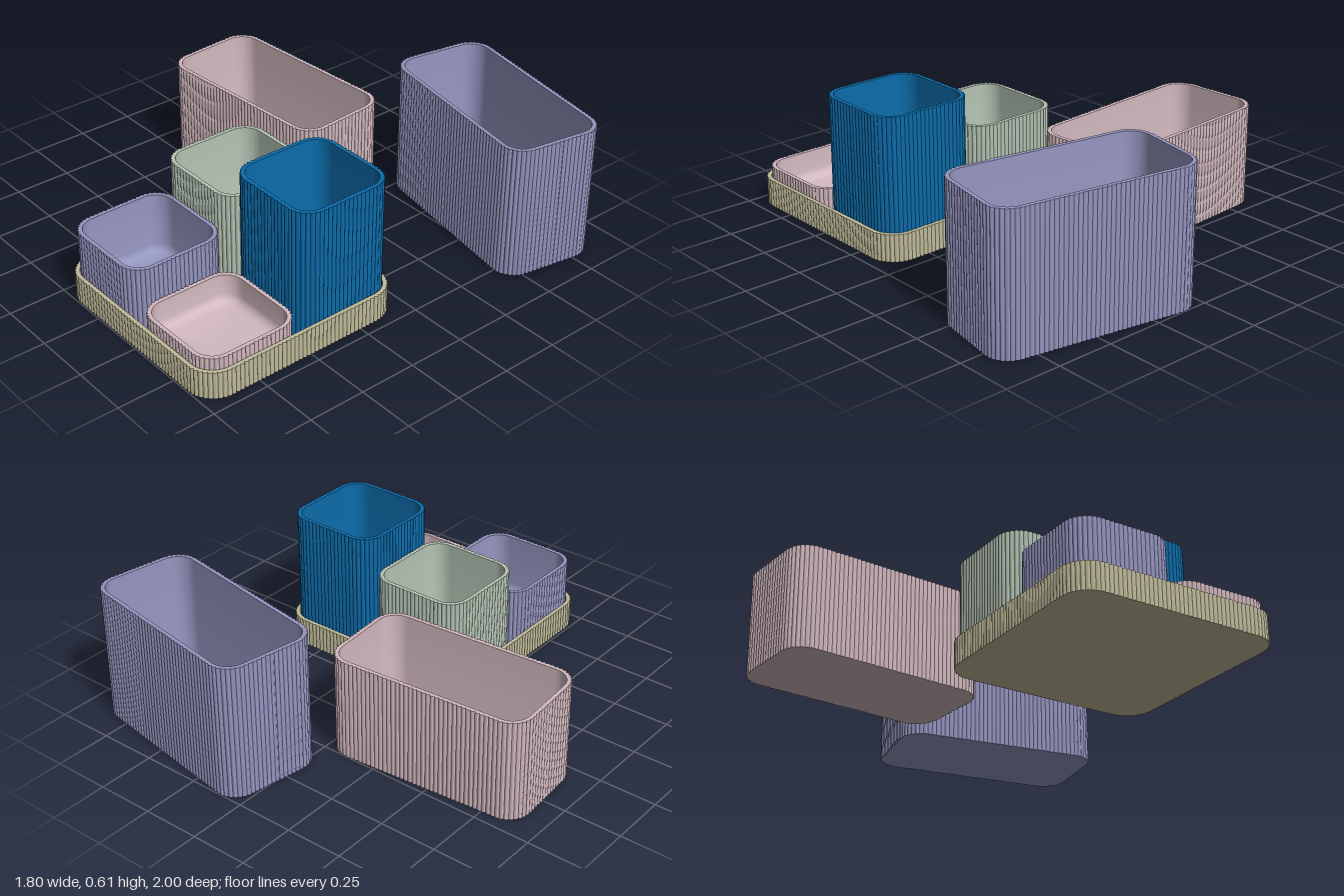
import * as THREE from 'three';
import { toCreasedNormals } from 'three/addons/utils/BufferGeometryUtils.js';

const RIB_PITCH = 0.02, RIB_DEPTH = 0.006, PER_RIB = 4;

// Evenly spaced points and outward normals around a rounded rectangle
function outline(w, d, r) {
  const a = w / 2 - r, b = d / 2 - r, arc = Math.PI * r / 2;
  const sides = [
    { c: [a, b], len: 2 * b, dir: [0, -1], corner: [a, -b] },
    { c: [a, -b], len: 2 * a, dir: [-1, 0], corner: [-a, -b] },
    { c: [-a, -b], len: 2 * b, dir: [0, 1], corner: [-a, b] },
    { c: [-a, b], len: 2 * a, dir: [1, 0], corner: [a, b] },
  ];
  const total = 4 * (a + b + arc);
  const n = Math.round(total / RIB_PITCH) * PER_RIB;
  const points = [];
  for (let i = 0; i < n; i++) {
    let s = (i / n) * total, k = 0;
    while (k < 3 && s >= sides[k].len + arc) { s -= sides[k].len + arc; k++; }
    const { c, len, dir, corner } = sides[k];
    const t = Math.max(0, s - len) / r, angle = k * Math.PI / 2 + t;
    const nx = Math.cos(angle), nz = -Math.sin(angle);
    const along = Math.min(s, len);
    const base = s < len ? [c[0] + dir[0] * along, c[1] + dir[1] * along] : corner;
    points.push({ x: base[0] + nx * r, z: base[1] + nz * r, nx, nz });
  }
  return points;
}

// Open tub: ribbed outside, smooth inside with a rounded edge around the floor
function tubGeometry(w, d, h, r, wall, floor, fillet) {
  const path = outline(w, d, r), n = path.length;
  const profile = [
    { y: 0, centre: true },
    { y: 0, inset: 0, rib: true },
    { y: h, inset: 0, rib: true },
    { y: h, inset: wall },
  ];
  for (let i = 0; i <= 4; i++) {
    const t = (i / 4) * Math.PI / 2;
    profile.push({ y: floor + fillet * (1 - Math.sin(t)), inset: wall + fillet * (1 - Math.cos(t)) });
  }
  profile.push({ y: floor, centre: true });

  const pos = [], index = [];
  for (const ring of profile) {
    path.forEach((p, i) => {
      if (ring.centre) return pos.push(0, ring.y, 0);
      const groove = ring.rib ? RIB_DEPTH * (1 - Math.abs(Math.sin(Math.PI * i / PER_RIB))) : 0;
      const inset = ring.inset + groove;
      pos.push(p.x - p.nx * inset, ring.y, p.z - p.nz * inset);
    });
  }
  for (let j = 0; j < profile.length - 1; j++) {
    for (let i = 0; i < n; i++) {
      const k = (i + 1) % n;
      const a = j * n + i, b = j * n + k, c = a + n, e = b + n;
      if (!profile[j].centre) index.push(a, b, c);
      if (!profile[j + 1].centre) index.push(b, e, c);
    }
  }
  const g = new THREE.BufferGeometry();
  g.setAttribute('position', new THREE.Float32BufferAttribute(pos, 3));
  g.setIndex(index);
  return toCreasedNormals(g, 0.75);
}

export function createModel() {
  const model = new THREE.Group();
  model.name = 'organizerSet';
  const colors = { beige: 0xc2bd9c, pink: 0xd2b9bf, purple: 0x9596c0, green: 0xb4c3b3, blue: 0x0c6cab };
  const materials = {};
  for (const key in colors) materials[key] = new THREE.MeshStandardMaterial({ color: colors[key] });

  const addTub = (name, color, [w, h, d], [x, y, z], r = 0.1, fillet = 0.04, turn = 0) => {
    const mesh = new THREE.Mesh(tubGeometry(w, d, h, r, 0.02, 0.02, fillet), materials[color]);
    mesh.name = name;
    mesh.position.set(x, y, z);
    mesh.rotation.y = THREE.MathUtils.degToRad(turn);
    model.add(mesh);
  };

  // Tray
  addTub('tray', 'beige', [0.95, 0.12, 0.95], [0.232, 0, 0.523], 0.12, 0.01);

  // Four square bins standing in the tray
  const bins = [
    ['greenBin', 'green', -1, -1, 0.46],
    ['blueBin', 'blue', 1, -1, 0.61],
    ['purpleBin', 'purple', -1, 1, 0.315],
    ['pinkBin', 'pink', 1, 1, 0.168],
  ];
  for (const [name, color, sx, sz, top] of bins) {
    addTub(name, color, [0.45, top - 0.02, 0.45], [0.232 + sx * 0.228, 0.02, 0.523 + sz * 0.228]);
  }

  // Two long bins standing loose behind
  addTub('longPinkBin', 'pink', [0.9, 0.443, 0.45], [-0.447, 0, -0.252], 0.1, 0.04, 4);
  addTub('longPurpleBin', 'purple', [0.9, 0.59, 0.45], [0.433, 0, -0.717], 0.1, 0.04, -10);
  return model;
}
